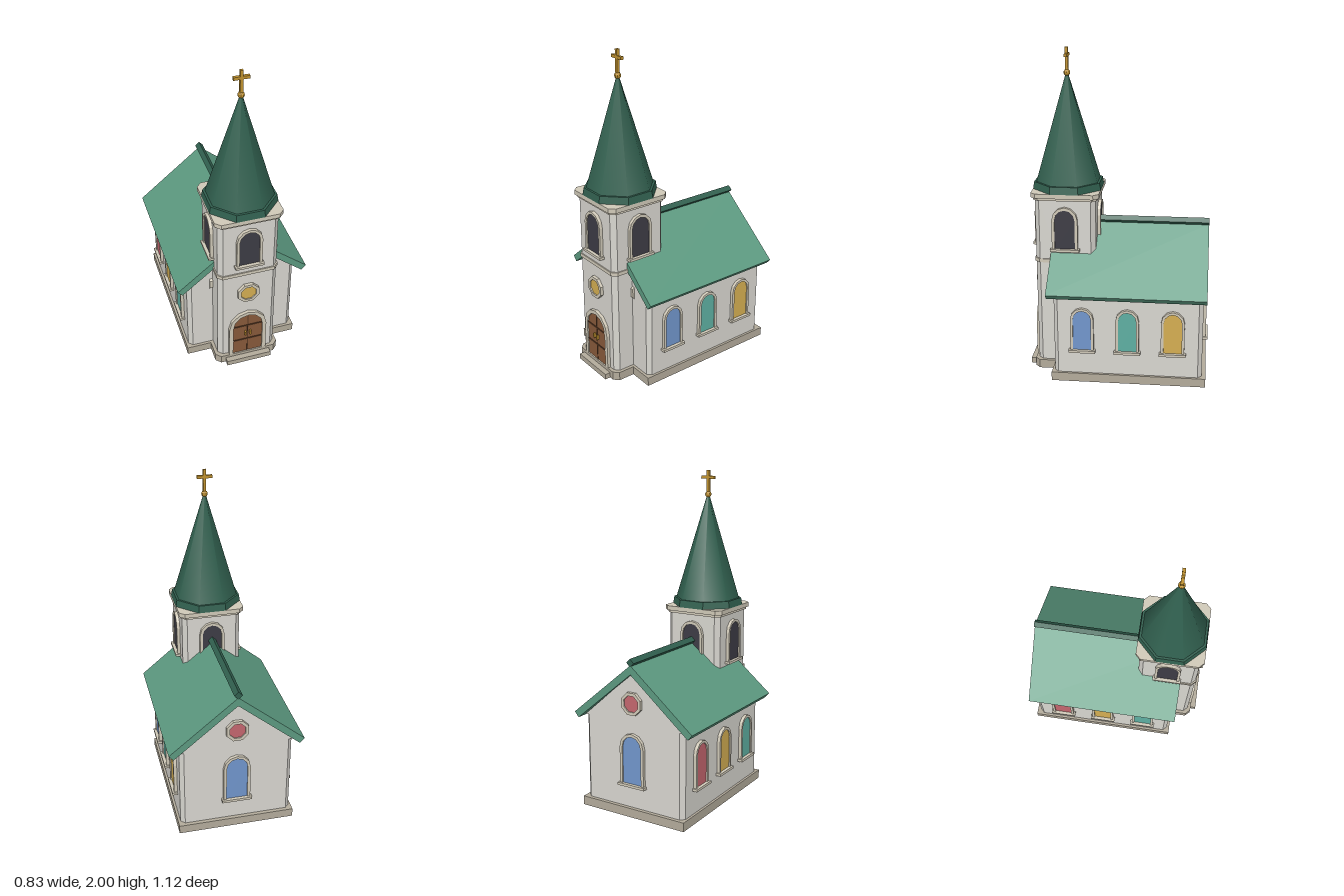
import * as THREE from 'three';

const mat = (color) => new THREE.MeshStandardMaterial({ color, flatShading: true });
const M = {
  wall: mat(0xd8d6d0), trim: mat(0xd0c9b8), stone: mat(0xb3ab9b),
  roof: mat(0x5c9980), spire: mat(0x31604f), gold: mat(0xc0922f),
  door: mat(0x87593a), iron: mat(0x5a3a24), dark: mat(0x3d3c45),
  blue: mat(0x7196cc), teal: mat(0x5eafa2), yellow: mat(0xd4ae52), red: mat(0xc4666e),
};

function add(parent, name, geo, material, x = 0, y = 0, z = 0) {
  const m = new THREE.Mesh(geo, material);
  m.name = name;
  m.position.set(x, y, z);
  parent.add(m);
  return m;
}
const box = (p, name, material, w, h, d, x, y, z) =>
  add(p, name, new THREE.BoxGeometry(w, h, d), material, x, y, z);
const extrude = (shape, depth) => new THREE.ExtrudeGeometry(shape, { depth, bevelEnabled: false });
const shapeOf = (pts) => new THREE.Shape(pts.map(([x, y]) => new THREE.Vector2(x, y)));

// Upright block with chamfered vertical corners
function block(p, name, material, hx, hz, c, y0, y1, z) {
  const s = shapeOf([[hx - c, -hz], [hx, c - hz], [hx, hz - c], [hx - c, hz],
    [c - hx, hz], [-hx, hz - c], [-hx, c - hz], [c - hx, -hz]]);
  const g = extrude(s, y1 - y0);
  g.rotateX(-Math.PI / 2);
  return add(p, name, g, material, 0, y0, z);
}

// Outline of an arched opening: half width, bottom, arch spring, arch rise
function archPoints(w, y0, spring, rise) {
  const pts = [[-w, y0], [w, y0]];
  for (let i = 0; i <= 6; i++) {
    const a = (i * Math.PI) / 6;
    pts.push([w * Math.cos(a), spring + rise * Math.sin(a)]);
  }
  return pts;
}

// Arched frame with its pane, facing +z from local z = 0
function arched(name, paneMat, w, y0, top, t, sill = true) {
  const g = new THREE.Group();
  g.name = name;
  const rise = w * 1.05, spring = top - rise;
  const frame = shapeOf(archPoints(w + t, y0, spring, rise + t));
  frame.holes.push(shapeOf(archPoints(w, y0 + 0.001, spring, rise)));
  add(g, 'frame', extrude(frame, 0.025), M.trim, 0, 0, -0.005);
  add(g, 'pane', extrude(shapeOf(archPoints(w, y0, spring, rise)), 0.015), paneMat, 0, 0, -0.003);
  if (sill) box(g, 'sill', M.trim, 2 * (w + t) + 0.02, 0.016, 0.04, 0, y0 - 0.006, 0.012);
  return g;
}

// Octagonal window facing +z
function rose(name, paneMat) {
  const g = new THREE.Group();
  g.name = name;
  const oct = (r) => shapeOf(Array.from({ length: 8 }, (_, i) => {
    const a = ((i + 0.5) * Math.PI) / 4;
    return [r * Math.cos(a), r * Math.sin(a)];
  }));
  const ring = oct(0.072);
  ring.holes.push(oct(0.052));
  add(g, 'frame', extrude(ring, 0.025), M.trim, 0, 0, -0.005);
  add(g, 'pane', extrude(oct(0.053), 0.015), paneMat, 0, 0, -0.003);
  return g;
}

function put(parent, obj, x, y, z, turn = 0) {
  obj.position.set(x, y, z);
  obj.rotation.y = turn;
  parent.add(obj);
}

const Q = Math.PI / 2, TZ = 0.32, TH = 0.185;

function buildNave(root) {
  const g = new THREE.Group();
  g.name = 'nave';
  root.add(g);
  box(g, 'navePlinth', M.stone, 0.72, 0.055, 0.945, 0, 0.0275, -0.0805);
  block(g, 'naveWalls', M.wall, 0.345, 0.4525, 0.025, 0.05, 0.585, -0.0775);
  add(g, 'gables', extrude(shapeOf([[-0.345, 0.58], [0.345, 0.58], [0, 0.88]]), 0.905), M.wall, 0, 0, -0.53);

  // Roof slopes and ridge
  for (const s of [1, -1]) {
    const pts = [[0, 0.875], [s * 0.385, 0.555], [s * 0.413, 0.587], [0, 0.93]];
    add(g, 'roofSlope', extrude(shapeOf(pts), 0.96), M.roof, 0, 0, -0.55);
  }
  const ridge = box(g, 'ridgeCap', M.spire, 0.035, 0.035, 0.7, 0, 0.945, -0.201);
  ridge.rotation.z = Math.PI / 4;

  // Side windows, front to back
  const colours = { 1: [M.blue, M.teal, M.yellow], '-1': [M.teal, M.yellow, M.red] };
  for (const s of [1, -1])
    [0.2, -0.075, -0.35].forEach((z, i) =>
      put(g, arched('sideWindow', colours[s][i], 0.055, 0.215, 0.473, 0.016), s * 0.345, 0, z, s * Q));

  // Back wall windows
  put(g, arched('backWindow', M.blue, 0.065, 0.205, 0.5, 0.018), 0, 0, -0.53, Math.PI);
  put(g, rose('backRoseWindow', M.red), 0, 0.7, -0.53, Math.PI);
}

function buildTower(root) {
  const g = new THREE.Group();
  g.name = 'tower';
  root.add(g);
  block(g, 'towerPlinth', M.stone, 0.205, 0.205, 0.03, 0, 0.055, TZ);
  box(g, 'doorStep', M.stone, 0.29, 0.035, 0.12, 0, 0.0175, 0.5);
  block(g, 'towerWalls', M.wall, TH, TH, 0.028, 0.05, 1.12, TZ);
  block(g, 'stringCourse', M.trim, 0.192, 0.192, 0.03, 0.713, 0.736, TZ);
  block(g, 'lowerCornice', M.trim, 0.195, 0.195, 0.03, 1.108, 1.124, TZ);
  block(g, 'cornice', M.trim, 0.207, 0.207, 0.032, 1.124, 1.152, TZ);

  // Belfry openings on all four faces, rose windows on three
  for (let i = 0; i < 4; i++) {
    const a = i * Q, x = Math.sin(a) * TH, z = TZ + Math.cos(a) * TH;
    put(g, arched('belfryOpening', M.dark, 0.062, 0.805, 1.053, 0.017), x, 0, z, a);
    if (i !== 2) put(g, rose('roseWindow', i ? M.red : M.yellow), x, 0.57, z, a);
  }

  // Double door with battens and handles
  const door = arched('door', M.door, 0.096, 0.055, 0.38, 0.025, false);
  box(door, 'doorSeam', M.iron, 0.006, 0.32, 0.004, 0, 0.215, 0.013);
  for (const y of [0.165, 0.285]) box(door, 'batten', M.iron, 0.188, 0.01, 0.006, 0, y, 0.013);
  for (const s of [1, -1]) box(door, 'handle', M.gold, 0.01, 0.03, 0.016, s * 0.016, 0.225, 0.02);
  put(g, door, 0, 0, TZ + TH);
}

function buildSpire(root) {
  const g = new THREE.Group();
  g.name = 'spire';
  g.position.z = TZ;
  root.add(g);
  const skirt = add(g, 'spireSkirt', new THREE.CylinderGeometry(0.217, 0.225, 0.045, 8), M.spire, 0, 1.1735);
  const smooth = new THREE.MeshStandardMaterial({ color: 0x31604f });
  const cone = add(g, 'spireCone', new THREE.CylinderGeometry(0.006, 0.203, 0.655, 8), smooth, 0, 1.5225);
  skirt.rotation.y = cone.rotation.y = Math.PI / 8;

  // Finial and cross
  add(g, 'finialBall', new THREE.SphereGeometry(0.02, 10, 8), M.gold, 0, 1.85);
  box(g, 'crossPost', M.gold, 0.018, 0.145, 0.018, 0, 1.9275, 0);
  box(g, 'crossBar', M.gold, 0.094, 0.018, 0.018, 0, 1.955, 0);
}

export function createModel() {
  const root = new THREE.Group();
  root.name = 'church';
  buildNave(root);
  buildTower(root);
  buildSpire(root);
  return root;
}
